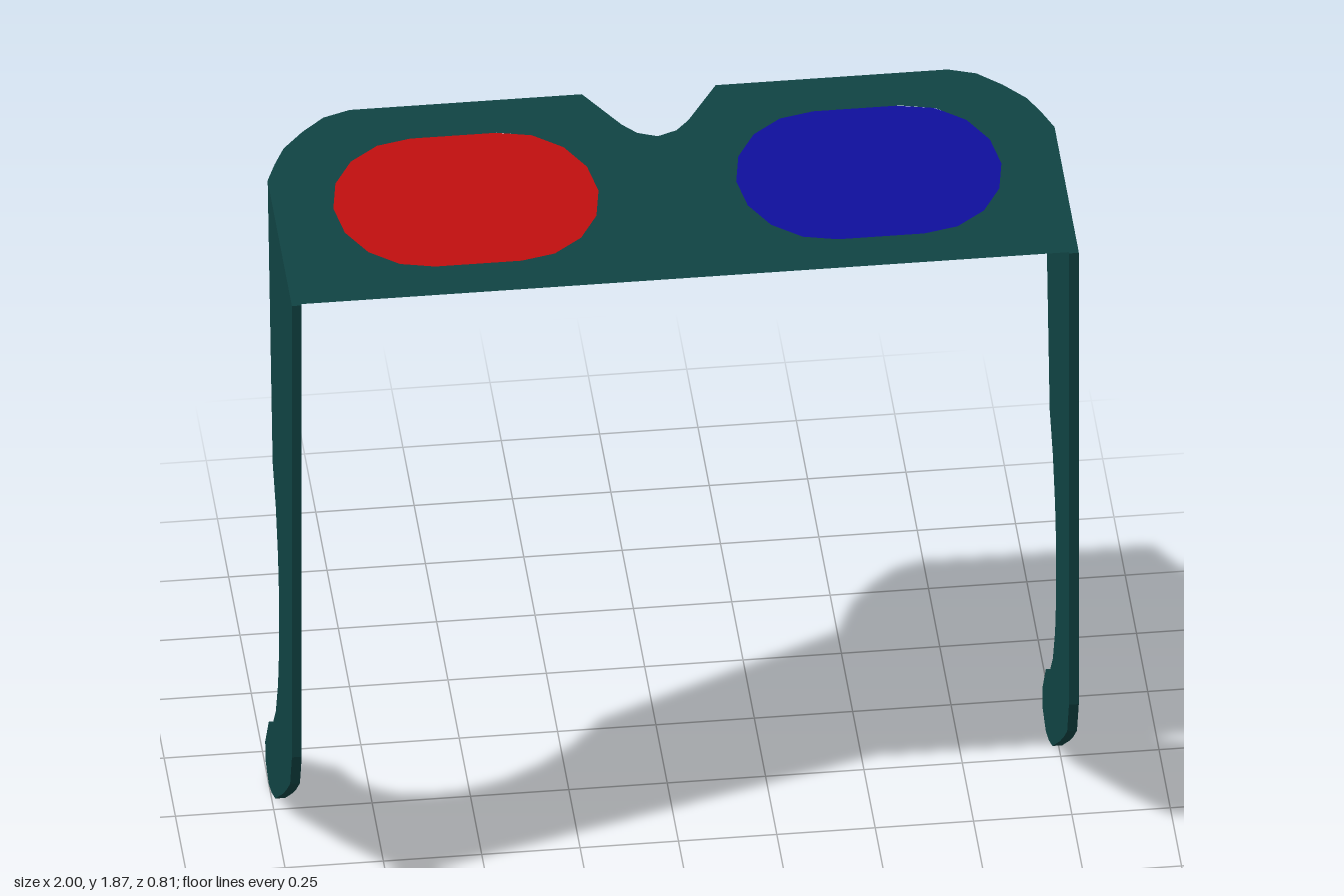
import * as THREE from 'three';

const HEIGHT = 1.872;

const material = (color, extra = {}) => new THREE.MeshStandardMaterial({ color, ...extra });

const shapeOf = (points) => new THREE.Shape(points.map(([x, y]) => new THREE.Vector2(x, y)));

// Rounded lens outline: two half ellipses joined by short flats
function lensOutline(cx, halfWidth, halfDepth, flat = 0.11) {
  const points = [];
  for (const side of [1, -1]) {
    for (let i = 0; i <= 8; i++) {
      const a = side * (-Math.PI / 2 + (i / 8) * Math.PI);
      points.push([
        cx + side * (flat + (halfWidth - flat) * Math.cos(a)),
        halfDepth * Math.sin(a) - 0.004,
      ]);
    }
  }
  return points;
}

export function createModel() {
  const model = new THREE.Group();
  model.name = 'glasses';
  const card = material(0x104343);
  const sheet = material(0x104343, { side: THREE.DoubleSide });

  // Front sheet: half outline (x, -z) from nose notch to outer corner, mirrored
  const half = [
    [0.05, 0.23], [0.085, 0.27], [0.17, 0.41], [0.76, 0.41], [0.83, 0.385],
    [0.89, 0.33], [0.945, 0.265], [0.975, 0.2], [1, 0.135], [1, -0.4],
  ];
  const mirrored = half.map(([x, y]) => [-x, y]).reverse();
  const frontShape = shapeOf([[0, 0.21], ...half, ...mirrored]);
  for (const side of [1, -1]) {
    const hole = lensOutline(side * 0.512, 0.337, 0.275);
    frontShape.holes.push(new THREE.Path(hole.map(([x, y]) => new THREE.Vector2(x, y))));
  }
  const front = new THREE.Mesh(new THREE.ShapeGeometry(frontShape).rotateX(-Math.PI / 2), sheet);
  front.name = 'frontFrame';
  front.position.y = HEIGHT;
  model.add(front);

  // Thin lenses behind the openings, tapering towards the underside
  const addLens = (name, cx, color) => {
    const geometry = new THREE.ExtrudeGeometry(shapeOf(lensOutline(0, 0.368, 0.279)), {
      depth: 0.011, bevelEnabled: false,
    });
    geometry.rotateX(-Math.PI / 2);
    const p = geometry.attributes.position;
    for (let i = 0; i < p.count; i++) {
      if (p.getY(i) < 0.005) p.setXYZ(i, p.getX(i) * 0.92, p.getY(i), p.getZ(i) * 0.97);
    }
    geometry.computeVertexNormals();
    const lens = new THREE.Mesh(geometry, material(color));
    lens.name = name;
    lens.position.set(cx, HEIGHT - 0.013, 0);
    model.add(lens);
  };
  addLens('rightLens', -0.522, 0xc00e0e);
  addLens('leftLens', 0.497, 0x0e0e9c);

  // Temple arms: side profile (z, y) with a curved ear hook
  const profile = [
    [0.403, 1.87], [0.403, 0.457], [0.363, 0.345], [0.28, 0.265], [0.2, 0.195],
    [0.035, 0.06], [-0.045, 0.02], [-0.11, 0], [-0.18, 0.02], [-0.19, 0.075],
    [-0.11, 0.195], [-0.025, 0.25], [0.045, 0.34], [0.095, 0.46], [0.12, 0.595],
    [0.12, 0.735], [0.095, 0.86], [0.045, 0.98], [-0.025, 1.07], [-0.135, 1.87],
  ];
  const armGeometry = new THREE.ExtrudeGeometry(shapeOf(profile.map(([z, y]) => [-z, y])), {
    depth: 0.025, bevelEnabled: false,
  }).rotateY(Math.PI / 2);
  for (const [name, x] of [['leftArm', 0.975], ['rightArm', -1]]) {
    const arm = new THREE.Mesh(armGeometry, card);
    arm.name = name;
    arm.position.x = x;
    model.add(arm);
  }
  return model;
}
